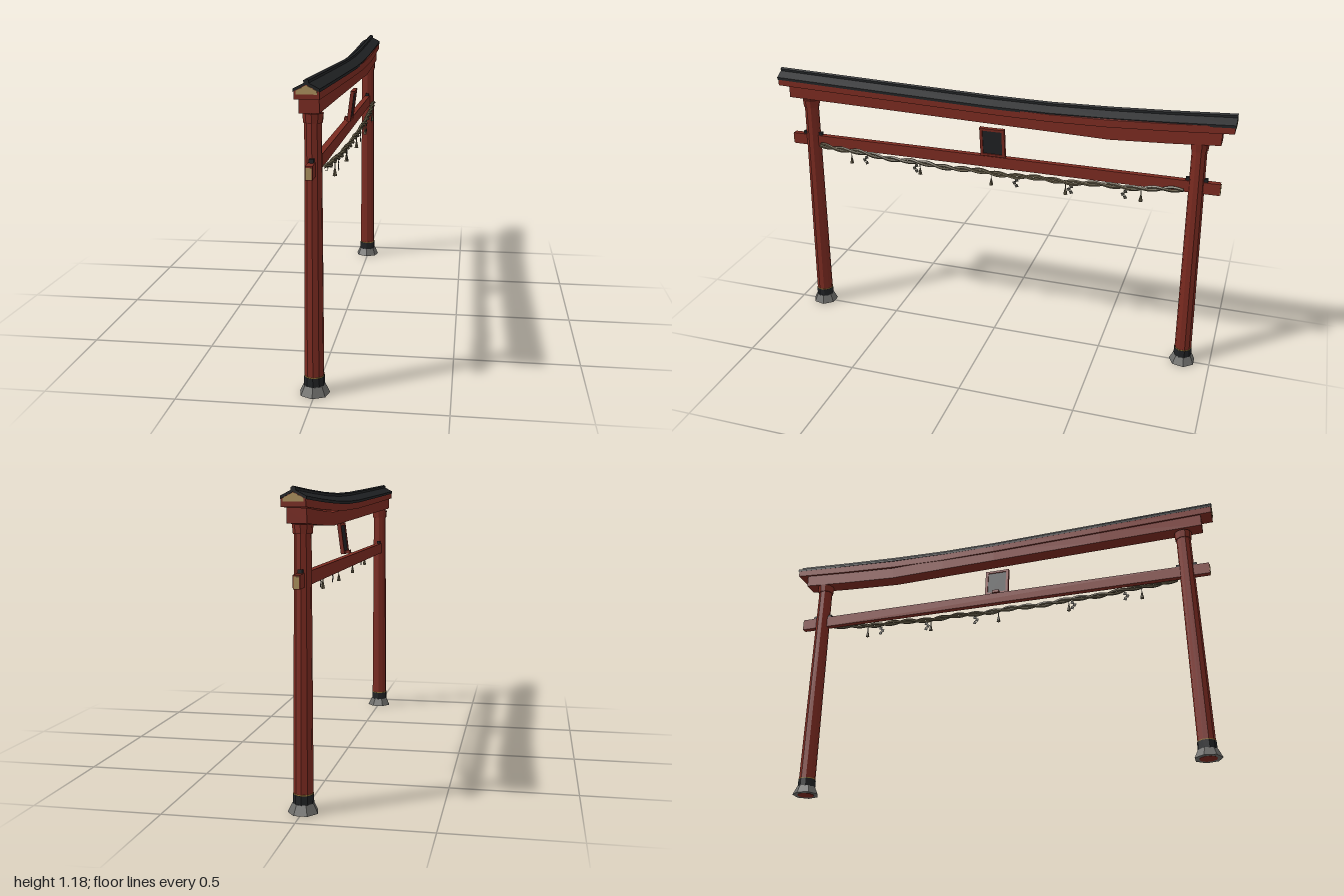
import * as THREE from 'three';

const mat = (name, color, extra = {}) => new THREE.MeshStandardMaterial({ name, color, flatShading: true, ...extra });

export function createModel() {
  const red = mat('vermilionWood', 0x7a2a20);
  const black = mat('blackRoof', 0x202224);
  const stone = mat('stone', 0x6c6c69);
  const tan = mat('paleEndGrain', 0xab8f5c);
  const straw = mat('straw', 0x655c46);
  const paper = mat('agedPaper', 0x4c4a42, { side: THREE.DoubleSide });
  const gold = mat('brass', 0x8f6f35);

  const model = new THREE.Group();
  model.name = 'shrineGate';
  const CX = -0.003;

  function add(parent, name, geometry, material, x = 0, y = 0, z = 0) {
    const mesh = new THREE.Mesh(geometry, material);
    mesh.name = name;
    mesh.position.set(x, y, z);
    parent.add(mesh);
    return mesh;
  }
  const box = (x, y, z) => new THREE.BoxGeometry(x, y, z);

  // Sweeps a convex section (counterclockwise in x, y) along stations [z, dy, dx]
  function sweep(section, stations) {
    const pos = [];
    const at = (i, [z, dy, dx = 0]) => {
      const [x, y] = section[i % section.length];
      return [x + dx, y + dy, z];
    };
    for (let s = 0; s < stations.length - 1; s++) {
      for (let i = 0; i < section.length; i++) {
        const a = at(i, stations[s]), b = at(i + 1, stations[s]);
        const c = at(i + 1, stations[s + 1]), d = at(i, stations[s + 1]);
        pos.push(...a, ...b, ...c, ...a, ...c, ...d);
      }
    }
    const first = stations[0], last = stations[stations.length - 1];
    for (let i = 1; i < section.length - 1; i++) {
      pos.push(...at(0, last), ...at(i, last), ...at(i + 1, last));
      pos.push(...at(0, first), ...at(i + 1, first), ...at(i, first));
    }
    const g = new THREE.BufferGeometry();
    g.setAttribute('position', new THREE.Float32BufferAttribute(pos, 3));
    g.computeVertexNormals();
    return g;
  }

  // Pillars with stone feet, black sleeves and collars, leaning inwards
  for (const s of [1, -1]) {
    const foot = new THREE.Group();
    foot.name = s > 0 ? 'frontPillar' : 'backPillar';
    foot.position.set(CX, 0, s * 0.88);
    model.add(foot);
    add(foot, 'footStone', new THREE.CylinderGeometry(0.041, 0.058, 0.036, 7), stone, 0, 0.019, 0);
    const post = new THREE.Group();
    post.name = 'post';
    post.rotation.x = -s * 0.015;
    foot.add(post);
    add(post, 'shaft', new THREE.CylinderGeometry(0.031, 0.037, 1.05, 10), red, 0, 0.525, 0);
    add(post, 'sleeve', new THREE.CylinderGeometry(0.0385, 0.039, 0.036, 10), black, 0, 0.052, 0);
    add(post, 'sleeveTrim', new THREE.CylinderGeometry(0.0378, 0.0378, 0.004, 10), gold, 0, 0.072, 0);
    add(post, 'collar', new THREE.CylinderGeometry(0.038, 0.035, 0.034, 10), red, 0, 1.028, 0);
    // Wedges on the tie beam, either side of the pillar
    for (const dz of [-0.037, 0.037])
      add(post, 'wedge', box(0.017, 0.016, 0.016), black, 0, 0.88, dz);
  }

  // Tie beam with pale ends
  add(model, 'tieBeam', box(0.026, 0.05, 1.926), red, CX, 0.85, 0);
  for (const s of [1, -1])
    add(model, 'tieBeamEnd', box(0.02, 0.042, 0.004), tan, CX, 0.848, s * 0.964);

  // Lower lintel, sagging past the middle
  add(model, 'lowerLintel', sweep(
    [[-0.038, 1.055], [0.033, 1.055], [0.033, 1.108], [-0.038, 1.108]],
    [[-0.95, -0.004], [-0.75, -0.018], [-0.5, -0.031], [-0.25, -0.025], [0, -0.02], [0.5, -0.009], [0.95, 0]],
  ), red);

  // Upper lintel, bulging slightly to one side
  const sag = [[-0.75, -0.014], [-0.5, -0.025], [-0.25, -0.031], [0, -0.029], [0.5, -0.015]];
  const bulge = [0.005, 0.008, 0.004, 0, 0];
  add(model, 'upperLintel', sweep(
    [[-0.046, 1.108], [0.041, 1.108], [0.041, 1.139], [CX, 1.162], [-0.046, 1.139]],
    [[-0.997, 0], ...sag.map(([z, y], i) => [z, y, bulge[i]]), [0.997, 0]],
  ), red);

  // Pale gable panels
  const gable = [[-0.039, 1.126], [0.033, 1.126], [0.033, 1.138], [CX, 1.157], [-0.039, 1.138]];
  for (const s of [1, -1])
    add(model, 'gablePanel', sweep(gable, [[s * 0.9985 - 0.0015, 0], [s * 0.9985 + 0.0015, 0]]), tan);

  // Roof slopes and ridge
  const roofPath = [[-1, 0], ...sag, [1, 0]];
  add(model, 'roofSlope', sweep([[0.043, 1.134], [0.043, 1.145], [CX, 1.169], [CX, 1.159]], roofPath), black);
  add(model, 'roofSlope', sweep([[-0.049, 1.134], [CX, 1.159], [CX, 1.169], [-0.049, 1.145]], roofPath), black);
  add(model, 'roofRidge', sweep(
    [[-0.012, 1.161], [0.006, 1.161], [0.006, 1.174], [CX, 1.179], [-0.012, 1.174]], roofPath), black);

  // Tilted name board, left blank
  const board = new THREE.Group();
  board.name = 'board';
  board.position.set(0.023, 0.948, 0);
  board.rotation.z = -0.13;
  model.add(board);
  add(board, 'boardPanel', box(0.008, 0.115, 0.09), black);
  for (const s of [1, -1]) {
    add(board, 'boardSide', box(0.016, 0.134, 0.012), red, 0, 0, s * 0.049);
    add(board, 'boardRail', box(0.016, 0.011, 0.09), red, 0, s * 0.0605, 0);
  }
  add(board, 'boardBracket', box(0.022, 0.014, 0.03), red, -0.014, -0.062, 0);

  // Twisted straw rope, two strands drooping between the pillars
  const ropeY = (z) => 0.814 + 0.026 * (z / 0.82) ** 2 + 0.003 * Math.sin(z * 23);
  const ropeX = (z) => 0.043 - 0.014 * (z / 0.82) ** 4;
  for (const phase of [0, Math.PI]) {
    const pts = [];
    for (let i = 0; i <= 110; i++) {
      const z = -0.82 + (1.64 * i) / 110;
      const a = z * 38 + phase;
      pts.push(new THREE.Vector3(ropeX(z) + 0.006 * Math.cos(a), ropeY(z) + 0.007 * Math.sin(a), z));
    }
    add(model, 'ropeStrand', new THREE.TubeGeometry(new THREE.CatmullRomCurve3(pts), 130, 0.0068, 5), straw);
  }

  // Straw tassels
  for (const z of [-0.65, -0.33, 0, 0.33, 0.66]) {
    const y = ropeY(z);
    add(model, 'tasselCord', new THREE.CylinderGeometry(0.002, 0.002, 0.026, 5), straw, 0.043, y - 0.018, z);
    add(model, 'tassel', new THREE.CylinderGeometry(0.003, 0.009, 0.028, 6), straw, 0.043, y - 0.042, z);
  }

  // Folded paper streamers
  for (const z of [-0.58, -0.35, -0.11, 0.35, 0.59]) {
    for (let i = 0; i < 3; i++) {
      const leaf = add(model, 'paperStreamer', box(0.002, 0.013, 0.013), paper,
        0.047, ropeY(z) - 0.016 - i * 0.013, z + (i % 2 ? 0.005 : -0.005));
      leaf.rotation.x = 0.4;
    }
  }

  return model;
}
